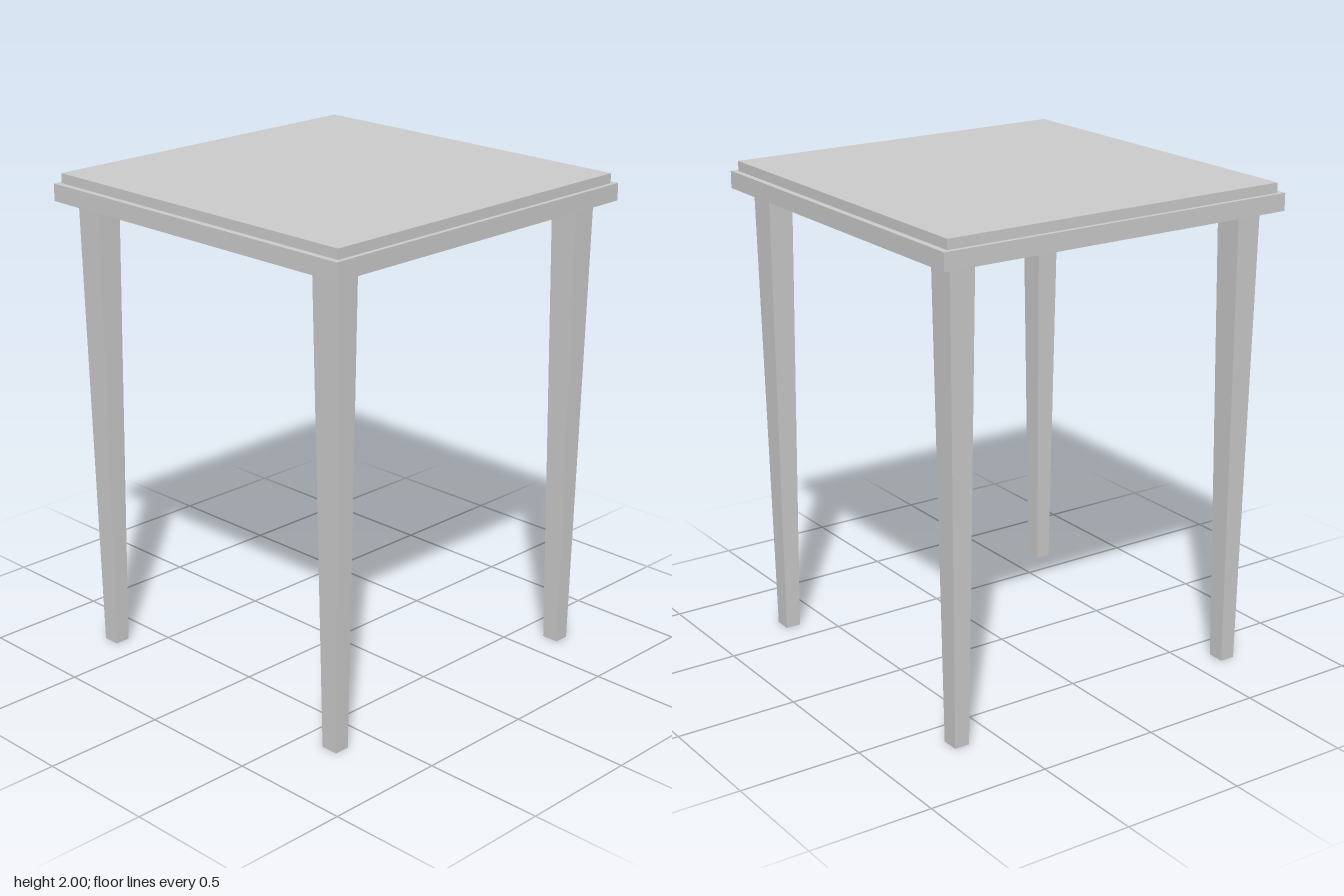
import * as THREE from 'three';

const material = new THREE.MeshStandardMaterial({ color: 0xcccccc, flatShading: true });

function addPart(group, name, geometry, x, y, z) {
  const mesh = new THREE.Mesh(geometry, material);
  mesh.name = name;
  mesh.position.set(x, y, z);
  group.add(mesh);
  return mesh;
}

// Counter-clockwise rectangle centred on the origin
function rectangle(PathType, halfX, halfY) {
  const path = new PathType();
  path.moveTo(-halfX, -halfY);
  path.lineTo(halfX, -halfY);
  path.lineTo(halfX, halfY);
  path.lineTo(-halfX, halfY);
  path.closePath();
  return path;
}

// Square-section leg narrowing evenly towards the floor
function taperedLeg(height, topX, topZ, footX, footZ) {
  const geometry = new THREE.BoxGeometry(topX, height, topZ);
  const p = geometry.attributes.position;
  for (let i = 0; i < p.count; i++) {
    if (p.getY(i) < 0) {
      p.setX(i, p.getX(i) * footX / topX);
      p.setZ(i, p.getZ(i) * footZ / topZ);
    }
  }
  geometry.computeVertexNormals();
  return geometry;
}

export function createModel() {
  const table = new THREE.Group();
  table.name = 'sideTable';
  const frameBottom = 1.89, frameTop = 1.96, top = 2;

  // Table top, resting on the frame
  addPart(table, 'tableTop', new THREE.BoxGeometry(1.5, top - frameTop, 1.51),
    0, (frameTop + top) / 2, 0);

  // Wider frame, open in the middle underneath
  const outline = rectangle(THREE.Shape, 0.775, 0.773);
  outline.holes.push(rectangle(THREE.Path, 0.57, 0.57));
  const frameGeometry = new THREE.ExtrudeGeometry(outline,
    { depth: frameTop - frameBottom, bevelEnabled: false });
  frameGeometry.rotateX(-Math.PI / 2);
  addPart(table, 'frame', frameGeometry, 0, frameBottom, 0);

  // Four tapered legs
  const legGeometry = taperedLeg(frameBottom, 0.105, 0.121, 0.063, 0.072);
  for (const [side, x] of [['Left', 0.656], ['Right', -0.656]]) {
    for (const [end, z] of [['front', 0.647], ['back', -0.647]]) {
      addPart(table, `${end}${side}Leg`, legGeometry, x, frameBottom / 2, z);
    }
  }
  return table;
}
